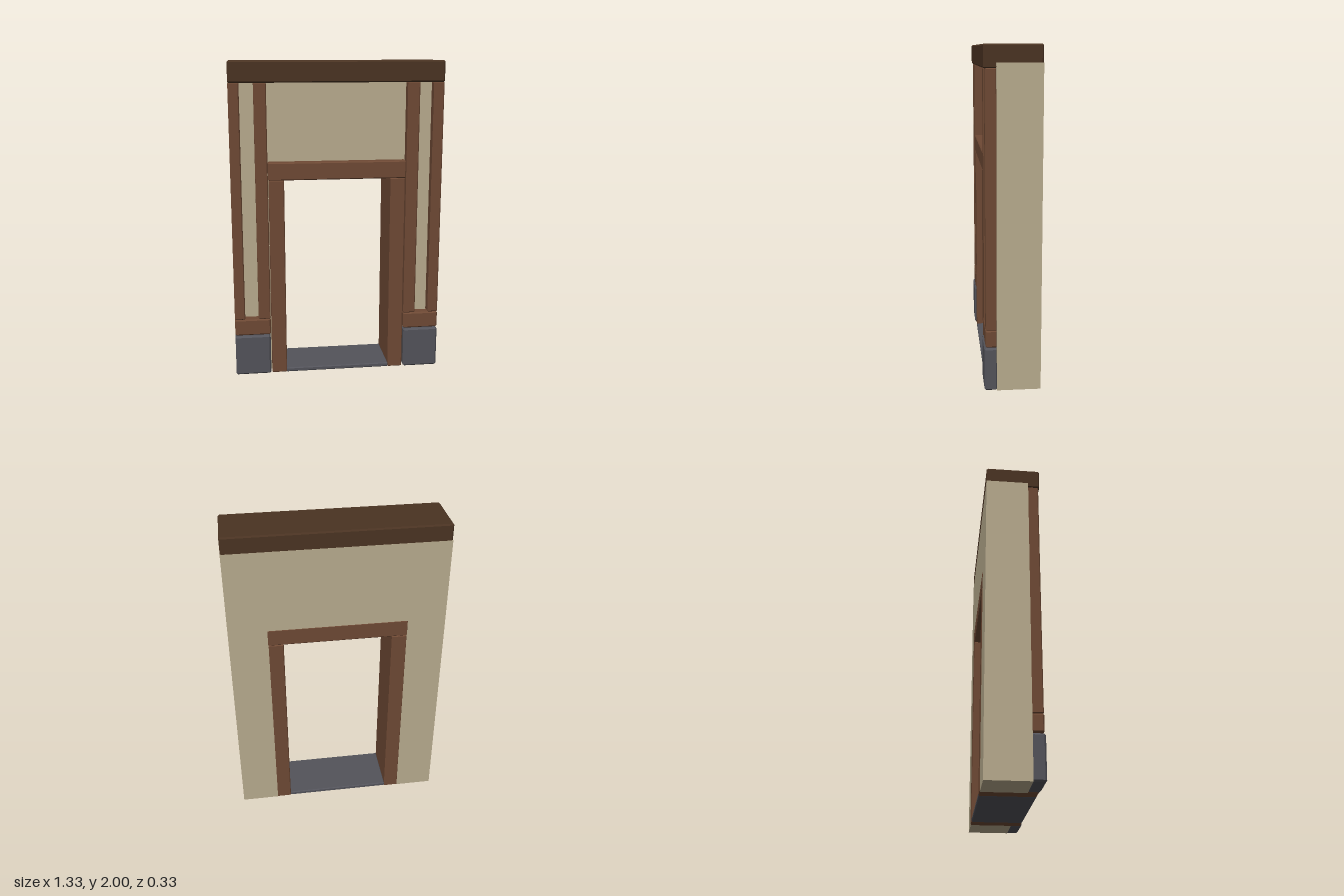
import * as THREE from 'three';
import { ConvexGeometry } from 'three/addons/geometries/ConvexGeometry.js';

const material = (name, color) => {
  const m = new THREE.MeshStandardMaterial({ color });
  m.name = name;
  return m;
};

// Box between two corners with every edge chamfered by c
function chamferBox([x0, y0, z0], [x1, y1, z1], c) {
  const centre = [(x0 + x1) / 2, (y0 + y1) / 2, (z0 + z1) / 2];
  const half = [(x1 - x0) / 2, (y1 - y0) / 2, (z1 - z0) / 2];
  const points = [];
  for (const sx of [-1, 1]) for (const sy of [-1, 1]) for (const sz of [-1, 1]) {
    const s = [sx, sy, sz];
    for (let face = 0; face < 3; face++) {
      const p = s.map((sign, i) => centre[i] + sign * (half[i] - (i === face ? 0 : c)));
      points.push(new THREE.Vector3(...p));
    }
  }
  return new ConvexGeometry(points);
}

export function createModel() {
  const plaster = material('plaster', 0xb8ab8e);
  const wood = material('wood', 0x6e4934);
  const darkWood = material('dark wood', 0x4a3322);
  const stone = material('stone', 0x53535a);

  const model = new THREE.Group();
  model.name = 'doorwayWall';
  const add = (name, geometry, mat, parent = model) => {
    const mesh = new THREE.Mesh(geometry, mat);
    mesh.name = name;
    parent.add(mesh);
    return mesh;
  };

  // Plaster wall with the door opening cut from its lower edge
  const outline = [[-0.665, 0], [-0.425, 0], [-0.425, 1.38], [0.425, 1.38],
    [0.425, 0], [0.665, 0], [0.665, 1.9], [-0.665, 1.9]];
  const wallShape = new THREE.Shape(outline.map(([x, y]) => new THREE.Vector2(x, y)));
  const wall = new THREE.ExtrudeGeometry(wallShape, { depth: 0.26, bevelEnabled: false });
  wall.translate(0, 0, -0.165);
  add('wall', wall, plaster);

  // Top beam, a hair inside the wall faces where the two overlap
  add('topBeam', chamferBox([-0.664, 1.87, -0.164], [0.664, 2, 0.166], 0.008), darkWood);

  // Door lintel and threshold
  add('lintel', chamferBox([-0.433, 1.275, -0.167], [0.433, 1.385, 0.158], 0.006), wood);
  add('threshold', chamferBox([-0.338, 0, -0.165], [0.338, 0.028, 0.158], 0.006), stone);

  // Jambs, posts, rail and plinth on each side
  for (const [label, s] of [['left', 1], ['right', -1]]) {
    const side = new THREE.Group();
    side.name = label + 'Side';
    model.add(side);
    const block = (name, a, b, c, mat) => {
      const x0 = Math.min(s * a[0], s * b[0]);
      const x1 = Math.max(s * a[0], s * b[0]);
      add(name, chamferBox([x0, a[1], a[2]], [x1, b[1], b[2]], c), mat, side);
    };
    block('doorJamb', [0.335, 0, -0.167], [0.43, 1.276, 0.157], 0.005, wood);
    block('innerPost', [0.435, 0.374, 0.092], [0.512, 1.872, 0.158], 0.006, wood);
    block('outerPost', [0.598, 0.374, 0.092], [0.664, 1.872, 0.158], 0.006, wood);
    block('lowerRail', [0.435, 0.268, 0.092], [0.664, 0.374, 0.16], 0.008, wood);
    block('plinth', [0.438, 0, 0.09], [0.664, 0.264, 0.167], 0.01, stone);
  }
  return model;
}
